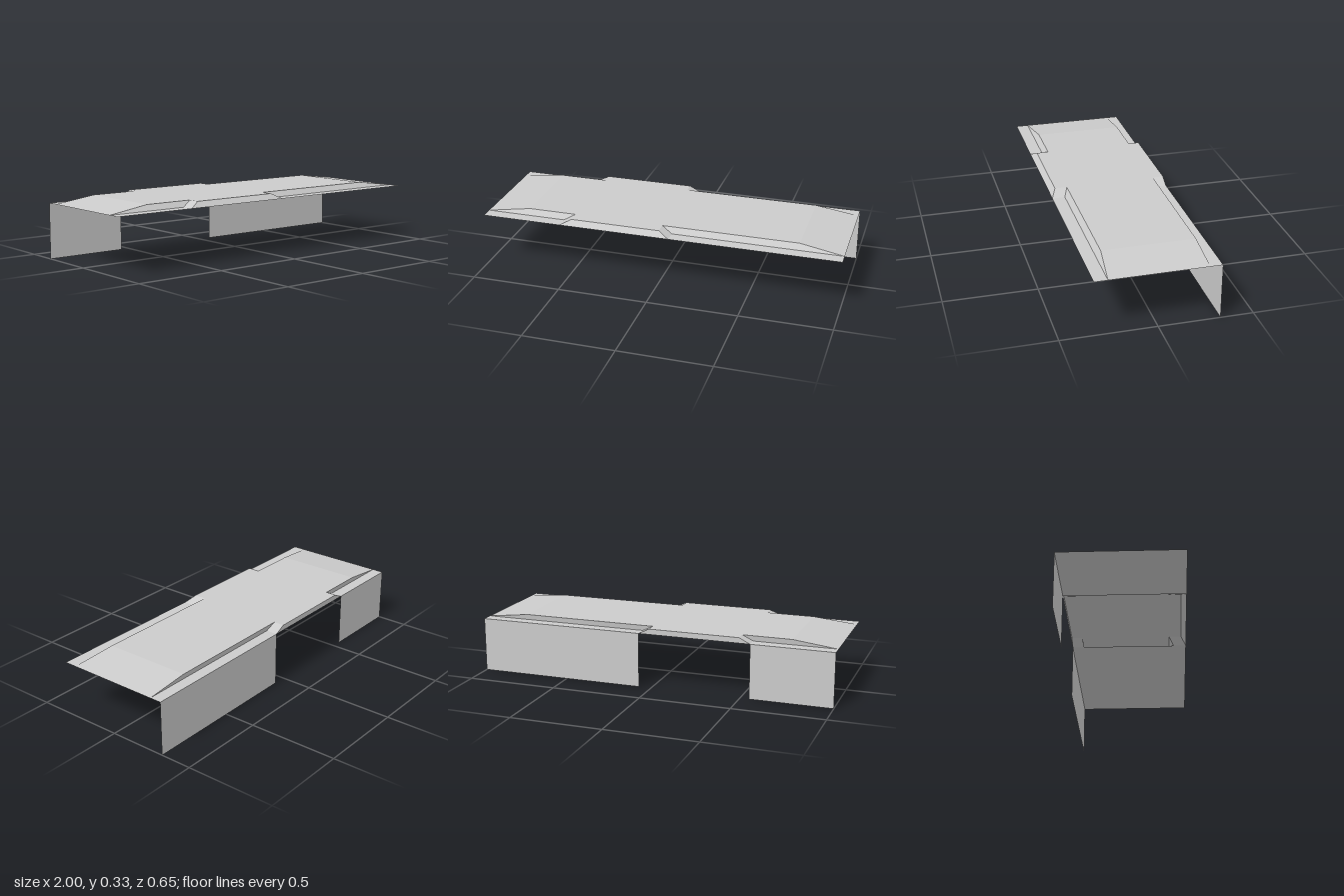
import * as THREE from 'three';

const LOW = 0.3, HIGH = 0.33;          // ledge and plateau heights
const FRONT = 0.325, BACK = -0.325;    // outer edges
const FOOT_F = 0.255, TOP_F = 0.23;    // front bevel of the plateau
const FOOT_B = -0.26, TOP_B = -0.265;  // back step of the plateau
const LIP = 0.297;                     // top edge of the middle front bevel

const material = new THREE.MeshStandardMaterial({ color: 0xcccccc, side: THREE.DoubleSide });

// Flat four-cornered panel, corners counter-clockwise seen from outside
function panel(name, corners, flip = false) {
  const [a, b, c, d] = flip ? [...corners].reverse() : corners;
  const geometry = new THREE.BufferGeometry();
  geometry.setAttribute('position', new THREE.Float32BufferAttribute([a, b, c, a, c, d].flat(), 3));
  geometry.computeVertexNormals();
  const mesh = new THREE.Mesh(geometry, material);
  mesh.name = name;
  return mesh;
}

// One end of the deck: ledge sheet, ramp, bevels and back wall
function deckEnd(name, end, rampTop, foot, top) {
  const group = new THREE.Group();
  group.name = name;
  const flip = end < 0;
  const add = (part, corners) => group.add(panel(part, corners, flip));

  add('ledge', [[foot, LOW, FRONT], [end, LOW, FRONT], [end, LOW, BACK], [foot, LOW, BACK]]);
  add('backWall', [[end, 0, BACK], [foot, 0, BACK], [foot, LOW, BACK], [end, LOW, BACK]]);
  add('endRamp', [[rampTop, HIGH, TOP_F], [end, LOW, FOOT_F], [end, LOW, FOOT_B], [rampTop, HIGH, TOP_B]]);
  add('frontBevel', [[foot, LOW, FOOT_F], [end, LOW, FOOT_F], [rampTop, HIGH, TOP_F], [top, HIGH, TOP_F]]);
  add('backStep', [[end, LOW, FOOT_B], [foot, LOW, FOOT_B], [top, HIGH, TOP_B], [rampTop, HIGH, TOP_B]]);
  // slopes from the raised middle down to the ledges
  add('frontSideSlope', [[top, HIGH, LIP], [foot, LOW, FRONT], [foot, LOW, FOOT_F], [top, HIGH, TOP_F]]);
  add('backSideSlope', [[top, HIGH, TOP_B], [foot, LOW, FOOT_B], [foot, LOW, BACK], [top, HIGH, BACK]]);
  return group;
}

export function createModel() {
  const model = new THREE.Group();
  model.name = 'raisedDeck';

  const left = { end: 1, ramp: 0.76, foot: 0.07, top: 0.01 };
  const right = { end: -1, ramp: -0.76, foot: -0.55, top: -0.49 };
  model.add(deckEnd('leftEnd', left.end, left.ramp, left.foot, left.top));
  model.add(deckEnd('rightEnd', right.end, right.ramp, right.foot, right.top));

  // Flat top, with the middle running out to the front and back edges
  const flat = (name, x0, x1, z0, z1) =>
    model.add(panel(name, [[x0, HIGH, z1], [x1, HIGH, z1], [x1, HIGH, z0], [x0, HIGH, z0]]));
  flat('plateau', right.ramp, left.ramp, TOP_B, TOP_F);
  flat('frontTongue', right.top, left.top, TOP_F, LIP);
  flat('backTongue', right.top, left.top, BACK, TOP_B);

  // Edge faces of the raised middle
  model.add(panel('middleFrontBevel', [
    [right.foot, LOW, FRONT], [left.foot, LOW, FRONT], [left.top, HIGH, LIP], [right.top, HIGH, LIP]]));
  model.add(panel('middleBackFace', [
    [left.foot, LOW, BACK], [right.foot, LOW, BACK], [right.top, HIGH, BACK], [left.top, HIGH, BACK]]));
  return model;
}
